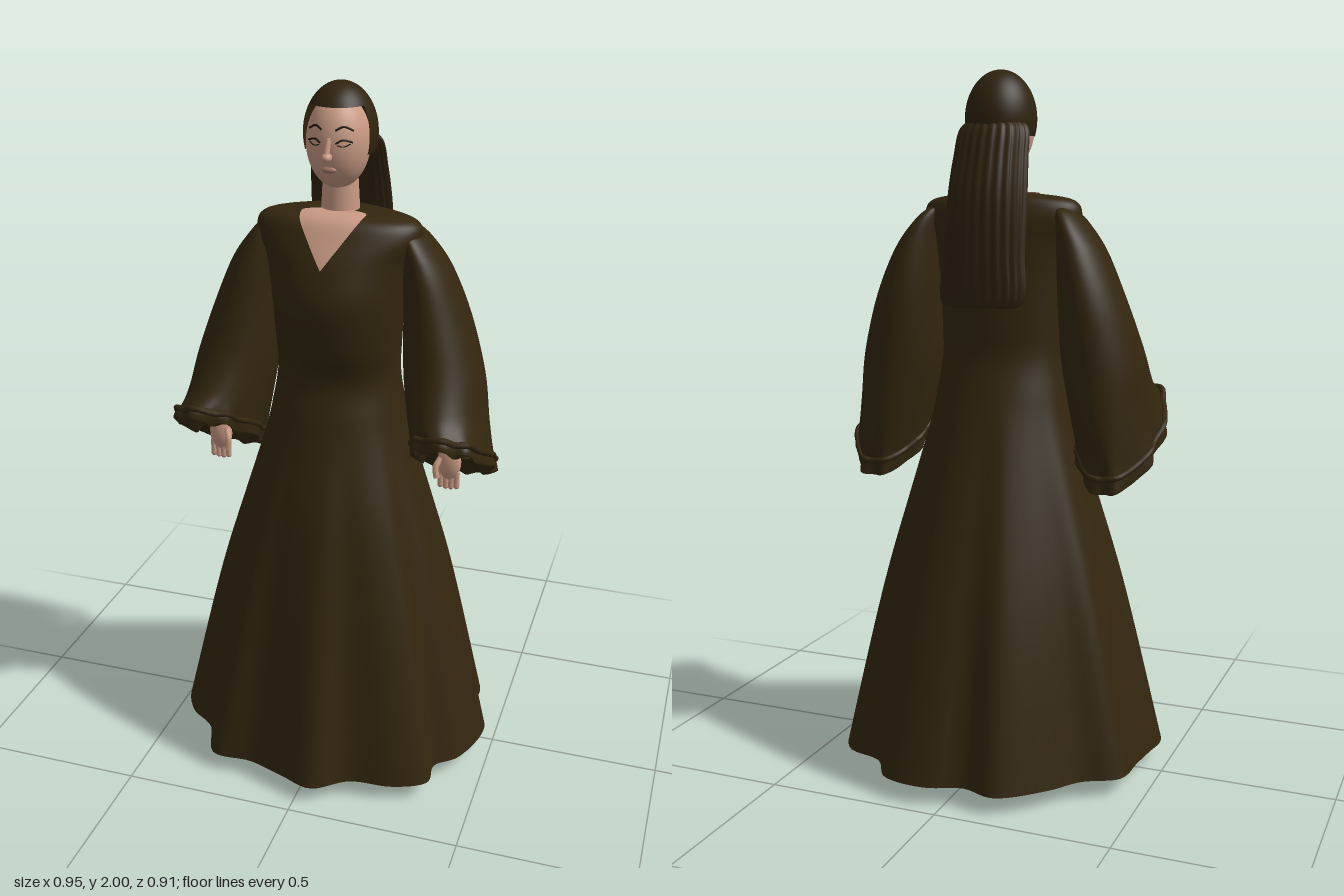
import * as THREE from 'three';

const mat = (name, color, side = THREE.FrontSide) => {
  const m = new THREE.MeshStandardMaterial({ color, side });
  m.name = name;
  return m;
};
const V = (x, y, z) => new THREE.Vector3(x, y, z);

// Smoothly sample a list of cross-section rows at a fractional index
function sampleRow(rows, t) {
  const i = Math.min(Math.floor(t), rows.length - 2), f = t - i;
  const at = k => rows[Math.max(0, Math.min(rows.length - 1, k))];
  return rows[i].map((p1, c) => {
    const p2 = at(i + 1)[c], m1 = (p2 - at(i - 1)[c]) / 2, m2 = (at(i + 2)[c] - p1) / 2;
    const f2 = f * f, f3 = f2 * f;
    return p1 * (2 * f3 - 3 * f2 + 1) + m1 * (f3 - 2 * f2 + f) + p2 * (3 * f2 - 2 * f3) + m2 * (f3 - f2);
  });
}

// Skin a grid of points; closed grids wrap around
function skin(nu, nv, closed, point) {
  const pos = [], idx = [], w = closed ? nu : nu + 1;
  for (let j = 0; j <= nv; j++) for (let i = 0; i < w; i++) pos.push(...point(i / nu, j / nv));
  for (let j = 0; j < nv; j++) for (let i = 0; i < nu; i++) {
    const a = j * w + i, b = j * w + (i + 1) % w;
    idx.push(a, a + w, b, b, a + w, b + w);
  }
  const g = new THREE.BufferGeometry();
  g.setAttribute('position', new THREE.Float32BufferAttribute(pos, 3));
  g.setIndex(idx);
  g.computeVertexNormals();
  return g;
}

// Hem outline seen from above
const hem = new THREE.CatmullRomCurve3([
  [.475, .01], [.43, .18], [.37, .24], [.37, .32], [.28, .37], [.15, .385], [.05, .45], [-.05, .42], [-.16, .385],
  [-.28, .38], [-.34, .26], [-.42, .2], [-.47, .1], [-.46, 0], [-.45, -.08], [-.435, -.2], [-.34, -.26], [-.27, -.35],
  [-.15, -.445], [-.05, -.42], [.05, -.455], [.18, -.435], [.25, -.34], [.36, -.3], [.42, -.18], [.42, -.1],
].map(([x, z]) => V(x, 0, z)), true);

// Dress sections, bottom to top: y, half width, front z, back z, fold strength
const dressRows = [
  [.05, .465, .45, -.45, 1], [.4, .385, .37, -.36, .8], [.6, .335, .325, -.305, .6], [.8, .275, .28, -.25, .4],
  [1, .215, .21, -.19, .15], [1.1, .193, .178, -.16, 0], [1.2, .178, .15, -.13, 0], [1.3, .18, .18, -.125, 0],
  [1.43, .188, .2, -.12, 0], [1.53, .205, .17, -.115, 0], [1.6, .235, .132, -.105, 0], [1.643, .21, .103, -.09, 0],
  [1.66, .1, .07, -.075, 0], [1.66, .05, .035, -.055, 0],
];
function dressPoint([y, rx, zf, zb, fold], a) {
  const s = Math.sin(a), t = ((a / (2 * Math.PI)) % 1 + 1) % 1, h = hem.getPoint(t), k = rx / .465;
  const x = rx * Math.cos(a), z = s > 0 ? zf * s : -zb * s;
  return [x + (h.x * k - x) * fold, y, z + (h.z * k - z) * fold];
}

// Sleeve sections, bottom to top: centre x y z, half width, half depth, slope along z, slope along x, ruffle
const sleeveRows = [
  [.347, 1.0, .05, .085, .15, .62, 0, .004], [.35, .968, .05, .105, .185, .62, 0, .008],
  [.352, .962, .05, .114, .193, .62, 0, .009], [.35, .985, .048, .115, .192, .6, 0, .006],
  [.343, 1.02, .04, .113, .186, .52, 0, .002], [.325, 1.1, .018, .113, .172, .32, 0, 0],
  [.305, 1.22, -.005, .112, .152, .15, 0, 0], [.277, 1.38, -.02, .092, .132, 0, -.1, 0],
  [.246, 1.52, -.02, .067, .105, 0, -.3, 0], [.215, 1.6, -.015, .042, .07, 0, -.5, 0],
  [.2, 1.628, -.012, .006, .01, 0, -.3, 0],
];
function sleevePoint([cx, cy, cz, rx, rz, sz, sx, ruf], a) {
  const r = ruf * (Math.sin(9 * a) + .5 * Math.sin(14 * a + 1));
  const x = (rx + r) * Math.cos(a), z = (rz + r) * Math.sin(a);
  return [cx + x, cy + z * sz + x * sx + r * .6, cz + z];
}

// Long hair sections, bottom to top: y, half width, front z, back z
const hairRows = [
  [1.36, .01, -.16, -.175], [1.36, .118, -.145, -.186], [1.5, .118, -.115, -.188], [1.65, .115, -.085, -.182],
  [1.76, .108, -.06, -.155], [1.84, .098, -.035, -.125], [1.87, .05, -.03, -.09],
];
function hairPoint([y, rx, zf, zb], a) {
  const s = Math.sin(a), c = Math.cos(a), side = (zf * .75 + zb * .25);
  const ridge = 1 + .025 * Math.sin(24 * a);
  return [rx * c * ridge, y, s > 0 ? side + (zf - side) * s : side + (side - zb) * s * ridge];
}

const HEAD = { y: 1.845, z: .012, rx: .086, ry: .125, rz: .092 };
// Depth of the face surface at a given x and y
const faceZ = (x, y) =>
  HEAD.z + HEAD.rz * Math.sqrt(Math.max(0, 1 - (x / HEAD.rx) ** 2 - ((y - HEAD.y) / HEAD.ry) ** 2));

export function createModel() {
  const root = new THREE.Group();
  root.name = 'robedFigure';
  const cloth = mat('dark brown cloth', 0x33260f, THREE.DoubleSide);
  const hair = mat('dark brown hair', 0x30230f, THREE.DoubleSide);
  const flesh = mat('skin', 0xc99a84, THREE.DoubleSide);
  const lips = mat('lips', 0xa9776a);
  const ink = mat('brow and lash', 0x1c140a);
  const sole = mat('straw sandal', 0x94834d);

  const add = (name, geo, m, parent = root) => {
    const mesh = new THREE.Mesh(geo, m);
    mesh.name = name;
    parent.add(mesh);
    return mesh;
  };
  const ball = (name, m, [x, y, z], [rx, ry, rz], parent) => {
    const mesh = add(name, new THREE.SphereGeometry(1, 32, 24), m, parent);
    mesh.position.set(x, y, z);
    mesh.scale.set(rx, ry, rz);
    return mesh;
  };
  const tube = (name, pts, r, m, parent) =>
    add(name, new THREE.TubeGeometry(new THREE.CatmullRomCurve3(pts), 20, r, 10), m, parent);
  const loft = (name, rows, point, m, nu, nv, parent) =>
    add(name, skin(nu, nv, true, (u, v) =>
      point(sampleRow(rows, v * (rows.length - 1)), u * 2 * Math.PI)), m, parent);

  // Dress and the bare V at the neck
  loft('dress', dressRows, dressPoint, cloth, 144, 78);
  add('neckline', skin(20, 24, false, (u, v) => {
    const row = sampleRow(dressRows, 9 + v * 4);
    const w = Math.min(.08 * (row[0] - 1.53) / .113, row[1] * .85);
    const p = dressPoint(row, Math.acos((1 - 2 * u) * w / row[1]));
    return [p[0], p[1] + .003, p[2] + .005];
  }), flesh);

  // Sleeves, arms, hands, legs and sandals, mirrored
  for (const s of [1, -1]) {
    const side = s > 0 ? 'left' : 'right';
    const at = (x, y, z) => V(s * x, y, z);
    loft(side + 'Sleeve', sleeveRows, (row, a) => {
      const p = sleevePoint(row, s > 0 ? a : Math.PI - a);
      return [s * p[0], p[1], p[2]];
    }, cloth, 72, 60);
    const gather = [];
    for (let i = 0; i < 48; i++) {
      const p = sleevePoint([.35, 1.0, .046, .113, .19, .6, 0, .004], i / 48 * 2 * Math.PI);
      gather.push(at(...p));
    }
    add(side + 'CuffGather',
      new THREE.TubeGeometry(new THREE.CatmullRomCurve3(gather, true), 96, .009, 8, true), cloth);

    const arm = new THREE.Group();
    arm.name = side + 'Arm';
    root.add(arm);
    tube('forearm', [at(.29, 1.3, -.02), at(.32, 1.15, .02), at(.342, 1.0, .065)], .028, flesh, arm);
    ball('palm', flesh, [s * .345, .975, .07], [.034, .055, .022], arm);
    for (let f = 0; f < 4; f++) {
      const x = .322 + f * .0155, len = .052 - Math.abs(f - 1.4) * .006;
      const finger = add('finger', new THREE.CapsuleGeometry(.0085, len, 4, 10), flesh, arm);
      finger.position.set(s * x, .925, .073);
    }
    tube('thumb', [at(.322, .99, .08), at(.312, .965, .095), at(.316, .935, .098)], .009, flesh, arm);

    const leg = new THREE.Group();
    leg.name = side + 'Leg';
    root.add(leg);
    const shin = add('shin', new THREE.CylinderGeometry(.055, .032, .6, 24), flesh, leg);
    shin.position.set(s * .11, .34, -.025);
    ball('heel', flesh, [s * .112, .04, -.025], [.036, .03, .042], leg);
    ball('foot', flesh, [s * .115, .033, .06], [.038, .028, .1], leg);
    for (let t = 0; t < 5; t++)
      ball('toe', flesh, [s * (.09 + t * .0125), .023, .155 - t * .007], [.009, .01, .022], leg);
    const pad = add('sandal', new THREE.CylinderGeometry(1, 1, .014, 40), sole, leg);
    pad.position.set(s * .115, .007, .068);
    pad.scale.set(.047, 1, .142);
    for (const e of [.082, .148])
      tube('strap', [at(.115, .02, .145), at((e + .115) / 2, .054, .1), at(e, .014, .04)], .005, sole, leg);
  }

  // Head, neck and hair
  const head = new THREE.Group();
  head.name = 'head';
  root.add(head);
  const neck = add('neck', new THREE.CylinderGeometry(.046, .056, .18, 32), flesh, head);
  neck.position.set(0, 1.7, -.008);
  ball('face', flesh, [0, HEAD.y, HEAD.z], [HEAD.rx, HEAD.ry, HEAD.rz], head);
  const cap = (name, ...args) => {
    const m = add(name, new THREE.SphereGeometry(1, 48, 24, ...args), hair, head);
    m.position.set(0, 1.865, -.01);
    m.scale.set(.1, .135, .11);
  };
  cap('hairCrown', 0, 2 * Math.PI, 0, .94);
  cap('hairSides', Math.PI - .4, Math.PI + .8, .9, 1.03);
  loft('longHair', hairRows, hairPoint, hair, 144, 36, head);

  // Nose, mouth, brows and closed eyes
  ball('noseTip', flesh, [0, 1.822, .113], [.014, .013, .018], head);
  tube('noseBridge', [V(0, 1.87, .099), V(0, 1.848, .107), V(0, 1.825, .117)], .008, flesh, head);
  ball('mouth', lips, [0, 1.785, faceZ(0, 1.785)], [.02, .009, .009], head);
  const line = (name, pts, r) => tube(name, pts.map(([x, y]) => V(x, y, faceZ(x, y) + .001)), r, ink, head);
  for (const s of [1, -1]) {
    line('brow', [[s * .018, 1.89], [s * .038, 1.899], [s * .06, 1.888]], .0028);
    line('eyelid', [[s * .02, 1.857], [s * .038, 1.866], [s * .06, 1.859]], .0026);
    line('lowerLash', [[s * .024, 1.853], [s * .04, 1.849], [s * .056, 1.855]], .0016);
  }
  return root;
}
